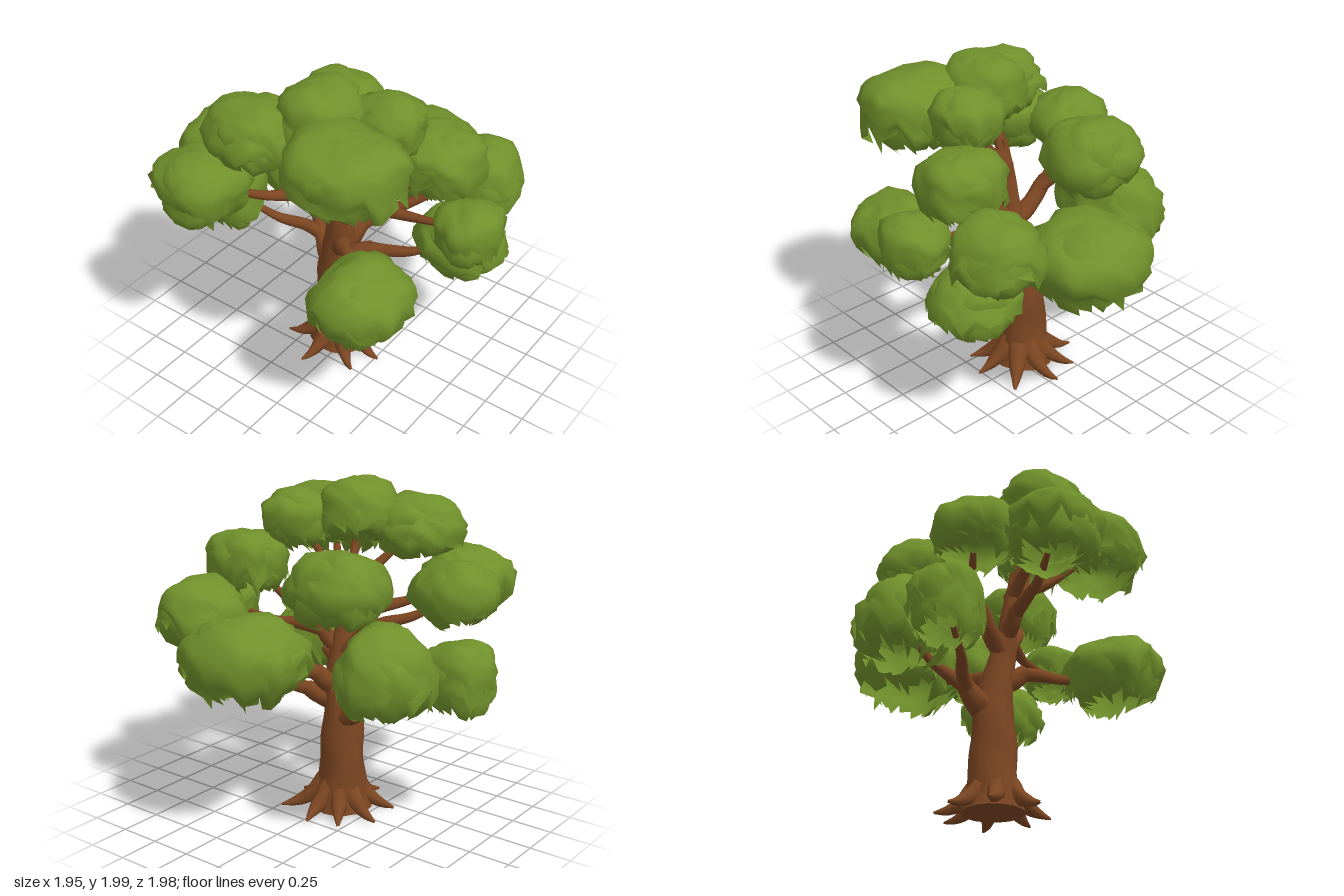
import * as THREE from 'three';
import { mergeGeometries, mergeVertices } from 'three/addons/utils/BufferGeometryUtils.js';

const bark = new THREE.MeshStandardMaterial({ color: 0x7c4622 });
bark.name = 'bark brown';
const leaf = new THREE.MeshStandardMaterial({ color: 0x70902b, side: THREE.DoubleSide });
leaf.name = 'leaf green';

const { lerp, smoothstep } = THREE.MathUtils;

// Small seeded random generator
function seeded(seed) {
  let s = seed * 7919 + 17;
  return () => {
    s = (s * 16807) % 2147483647;
    return s / 2147483647;
  };
}

// Weld the seams and smooth the normals
function smoothed(geo) {
  geo.deleteAttribute('uv');
  geo.deleteAttribute('normal');
  const welded = mergeVertices(geo, 1e-5);
  welded.computeVertexNormals();
  return welded;
}

// Tube through points with a radius given by a rule, and a lumpy surface
function limb(name, points, radiusAt, sides = 10, segments = 14, lump = 0.05) {
  const curve = new THREE.CatmullRomCurve3(points);
  const geo = new THREE.TubeGeometry(curve, segments, 1, sides, false);
  const pos = geo.attributes.position;
  const v = new THREE.Vector3(), c = new THREE.Vector3();
  for (let i = 0; i < pos.count; i++) {
    const ring = Math.floor(i / (sides + 1));
    const a = (i % (sides + 1)) % sides / sides * Math.PI * 2;
    curve.getPointAt(ring / segments, c);
    const w = 1 + lump * (Math.sin(3 * a + ring * 0.5) + 0.6 * Math.sin(2 * a - ring * 0.9));
    v.fromBufferAttribute(pos, i).sub(c).multiplyScalar(radiusAt(ring / segments, c) * w).add(c);
    pos.setXYZ(i, v.x, v.y, v.z);
  }
  const mesh = new THREE.Mesh(smoothed(geo), bark);
  mesh.name = name;
  return mesh;
}

// Lumpy dome of leaves that ends in a ragged hem at the given polar angle
function leafShell(size, scale, hem, rag, rnd) {
  const cols = 20, rows = 10;
  const geo = new THREE.SphereGeometry(1, cols, rows);
  const pos = geo.attributes.position;
  const hems = Array.from({ length: cols }, () => hem + (rnd() - 0.5) * rag);
  const jitter = Array.from({ length: cols * (rows + 1) }, () => (rnd() - 0.5) * 0.07);
  const p = Array.from({ length: 5 }, () => rnd() * 6.28);
  const soft = n => Math.sign(n) * Math.pow(Math.abs(n), 0.9);
  for (let i = 0; i < pos.count; i++) {
    const col = (i % (cols + 1)) % cols, row = Math.floor(i / (cols + 1)), t = row / rows;
    const th = t * lerp(hem, hems[col], t);
    const a = col / cols * Math.PI * 2;
    const x = Math.sin(th) * Math.cos(a), y = Math.cos(th), z = Math.sin(th) * Math.sin(a);
    const lump = 0.045 * (Math.sin(5 * x + p[0]) + Math.sin(5 * y + p[1]) + Math.sin(5 * z + p[2]))
      + 0.035 * Math.sin(9 * x + p[3]) * Math.sin(9 * z + p[4]);
    const r = scale * (0.98 + lump + jitter[row * cols + col] * Math.sin(th) * (1 + t));
    const drop = y < 0 ? 1.2 : 1.02;
    pos.setXYZ(i, -soft(x) * r * size[0], soft(y) * r * size[1] * drop, soft(z) * r * size[2]);
  }
  return smoothed(geo);
}

// Main forks: x, y, z and the height where each leaves the trunk
const forks = [
  [0.08, 0.9, 0.05, 0.78],
  [-0.08, 1.2, -0.27, 0.98],
  [-0.15, 1.36, -0.01, 1.2],
  [0.03, 0.74, -0.26, 0.6],
  [0.03, 0.76, 0.15, 0.7],
  [-0.07, 1.13, 0.13, 1],
  [-0.19, 0.89, 0.08, 0.8],
  [-0.23, 1.22, -0.09, 1.08]
];

// Leaf clusters: centre x, y, z, half sizes x, y, z, and the fork that carries it
const clusters = [
  [-0.69, 1.38, -0.5, 0.27, 0.21, 0.27, 7],
  [-0.31, 1.4, -0.67, 0.24, 0.19, 0.25, 1],
  [-0.51, 1.71, -0.27, 0.26, 0.18, 0.27, 2],
  [-0.3, 1.8, 0.02, 0.25, 0.19, 0.25, 2],
  [-0.53, 1.7, 0.34, 0.31, 0.22, 0.34, 2],
  [-0.1, 1.75, 0.32, 0.2, 0.18, 0.22, 2],
  [-0.56, 0.93, 0.48, 0.29, 0.23, 0.27, 6],
  [0.28, 0.88, 0.6, 0.24, 0.19, 0.27, 4],
  [0.46, 1.23, 0.59, 0.25, 0.21, 0.27, 0],
  [0.11, 1.5, 0.53, 0.24, 0.19, 0.25, 5],
  [0.01, 1.19, 0.8, 0.22, 0.18, 0.19, 5],
  [0.64, 1.1, 0.09, 0.32, 0.25, 0.36, 0],
  [0.28, 1.48, -0.28, 0.27, 0.21, 0.28, 1],
  [0.24, 1.03, -0.56, 0.28, 0.26, 0.28, 3],
  [-0.19, 0.94, -0.77, 0.21, 0.22, 0.22, 3]
];

// Trunk centre line: upright below, drifting to its right higher up
const trunkAt = y => new THREE.Vector3(
  -0.05 - 0.12 * smoothstep(y, 0.6, 1.5),
  y,
  -0.06 + 0.04 * smoothstep(y, 0.6, 0.95)
);
const trunkRadius = y => 0.128 + 0.06 * Math.exp(-y * 7) - 0.075 * smoothstep(y, 0.4, 1.3)
  - 0.035 * smoothstep(y, 1.2, 1.55);

export function createModel() {
  const tree = new THREE.Group();
  tree.name = 'tree';

  // Trunk with a flared foot and a flat underside
  const heights = Array.from({ length: 9 }, (_, i) => 0.02 + i * 0.185);
  tree.add(limb('trunk', heights.map(trunkAt), (u, c) => trunkRadius(c.y), 16, 32, 0.045));
  const base = new THREE.Mesh(new THREE.CircleGeometry(0.18, 16).rotateX(Math.PI / 2), bark);
  base.name = 'trunkBase';
  base.position.copy(trunkAt(0.02));
  tree.add(base);

  // Thick roots spreading over the ground
  const roots = new THREE.Group();
  roots.name = 'roots';
  const rnd = seeded(5);
  for (let i = 0; i < 8; i++) {
    const angle = i / 8 * Math.PI * 2 + 0.2 + (rnd() - 0.5) * 0.25;
    const length = 0.31 + rnd() * 0.05, bend = (rnd() - 0.5) * 0.35;
    const path = [0, 0.2, 0.45, 0.75, 1].map(t => {
      const d = lerp(0.06, length, t), a = angle + bend * t * t;
      return new THREE.Vector3(-0.05 + Math.cos(a) * d, 0.02 + 0.17 * (1 - t) ** 1.8, -0.04 + Math.sin(a) * d);
    });
    roots.add(limb('root', path, u => 0.066 * (1 - u ** 1.4) + 0.006, 8, 12, 0.08));
  }
  tree.add(roots);

  // Forks from the trunk, then thinner branches into the leaf clusters
  const branches = new THREE.Group();
  branches.name = 'branches';
  forks.forEach(([x, y, z, start]) => {
    const from = trunkAt(start), to = new THREE.Vector3(x, y, z);
    const middle = from.clone().lerp(to, 0.5);
    middle.y -= 0.02;
    const thick = trunkRadius(start) * 0.8;
    branches.add(limb('fork', [from, middle, to], u => lerp(thick, 0.045, u)));
  });
  clusters.forEach(([x, y, z, , , , fork], i) => {
    const from = new THREE.Vector3(...forks[fork]), to = new THREE.Vector3(x, y, z);
    const trunkSide = trunkAt(forks[fork][3]).lerp(from, 0.8);
    const side = new THREE.Vector3(from.z - z, 0, x - from.x).multiplyScalar(i % 2 ? 0.06 : -0.06);
    const path = [0.15, 0.45, 0.8].map(t => {
      const point = from.clone().lerp(to, t).addScaledVector(side, Math.sin(t * Math.PI));
      point.y -= 0.03 * Math.sin(t * Math.PI);
      return point;
    });
    branches.add(limb('branch', [trunkSide, ...path], u => lerp(0.046, 0.016, u)));
  });
  tree.add(branches);

  // Foliage: an outer dome over a deeper ragged skirt per cluster
  const foliage = new THREE.Group();
  foliage.name = 'foliage';
  clusters.forEach(([x, y, z, ...rest], i) => {
    const random = seeded(i + 3), size = rest.slice(0, 3);
    const cluster = new THREE.Mesh(mergeGeometries([
      leafShell(size, 1, 2, 0.7, random),
      leafShell(size, 0.93, 2.5, 0.6, random)
    ]), leaf);
    cluster.name = 'leafCluster';
    cluster.position.set(x, y, z);
    foliage.add(cluster);
  });
  tree.add(foliage);
  return tree;
}
